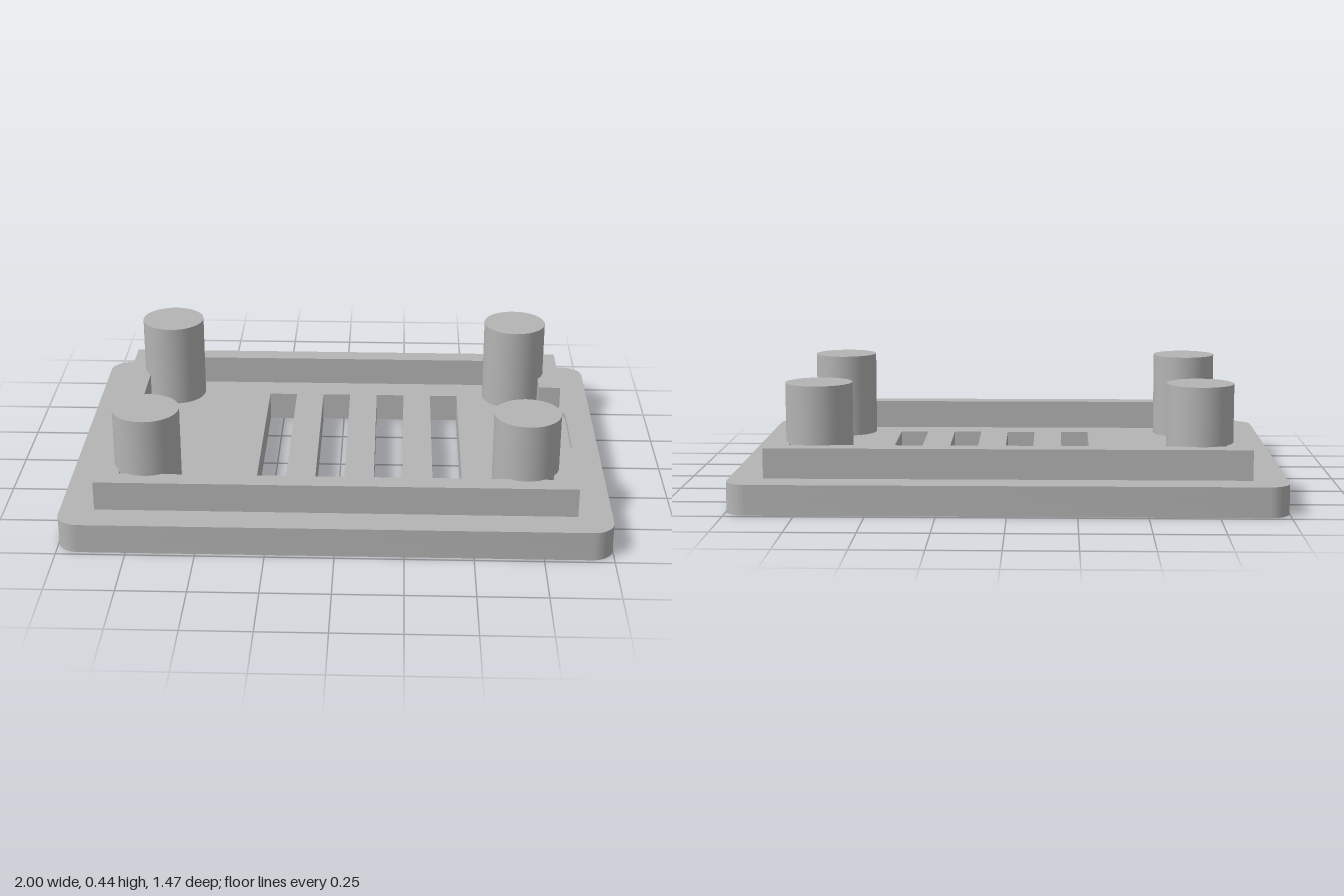
import * as THREE from 'three';
import { toCreasedNormals } from 'three/addons/utils/BufferGeometryUtils.js';

const grey = new THREE.MeshStandardMaterial({ color: 0xb4b4b4 });
grey.name = 'grey plastic';

// Closed rectangle outline with separate radii for the left and right corners
function rect(path, x0, x1, z0, z1, rl = 0, rr = rl) {
  path.moveTo(x0 + rl, z0);
  path.lineTo(x1 - rr, z0);
  if (rr) path.absarc(x1 - rr, z0 + rr, rr, -Math.PI / 2, 0);
  path.lineTo(x1, z1 - rr);
  if (rr) path.absarc(x1 - rr, z1 - rr, rr, 0, Math.PI / 2);
  path.lineTo(x0 + rl, z1);
  if (rl) path.absarc(x0 + rl, z1 - rl, rl, Math.PI / 2, Math.PI);
  path.lineTo(x0, z0 + rl);
  if (rl) path.absarc(x0 + rl, z0 + rl, rl, Math.PI, Math.PI * 1.5);
  return path;
}

// Plan outline raised from y0 to y1
function slab(name, shape, y0, y1) {
  let geo = new THREE.ExtrudeGeometry(shape, { depth: y1 - y0, bevelEnabled: false, curveSegments: 10 });
  geo.rotateX(-Math.PI / 2).translate(0, y0, 0);
  geo = toCreasedNormals(geo, Math.PI / 6);
  const mesh = new THREE.Mesh(geo, grey);
  mesh.name = name;
  return mesh;
}

// Rounded plate outline pierced by four vent slots
function plateShape() {
  const shape = rect(new THREE.Shape(), -1, 1, -0.735, 0.735, 0.08);
  for (let i = 0; i < 4; i++) {
    const x = -0.305 + i * 0.22;
    shape.holes.push(rect(new THREE.Path(), x, x + 0.11, -0.424, 0.424));
  }
  return shape;
}

export function createModel() {
  const model = new THREE.Group();
  model.name = 'ventedCover';
  const floor = 0.11, recess = 0.09, rimTop = 0.22, notch = 0.275;

  // Base plate: the upper layer is cut away for the shallow recess
  model.add(slab('basePlateLower', plateShape(), 0, recess));
  const upper = plateShape();
  upper.holes.push(rect(new THREE.Path(), 0.69, 0.9, -notch, notch, 0, 0.015));
  model.add(slab('basePlateUpper', upper, recess, floor));

  // Raised rim, open at the notch on the +x side
  const rim = new THREE.Shape([
    [0.875, notch], [0.875, 0.615], [-0.875, 0.615], [-0.875, -0.615], [0.875, -0.615], [0.875, -notch],
    [0.79, -notch], [0.79, -0.54], [-0.79, -0.54], [-0.79, 0.54], [0.79, 0.54], [0.79, notch],
  ].map(([x, z]) => new THREE.Vector2(x, z)));
  model.add(slab('rim', rim, floor, rimTop));

  // Corner posts
  const postGeo = new THREE.CylinderGeometry(0.122, 0.122, 0.435 - floor, 48);
  for (const x of [-0.697, 0.692]) {
    for (const z of [-0.435, 0.435]) {
      const post = new THREE.Mesh(postGeo, grey);
      post.name = 'cornerPost';
      post.position.set(x, (0.435 + floor) / 2, z);
      model.add(post);
    }
  }
  return model;
}
